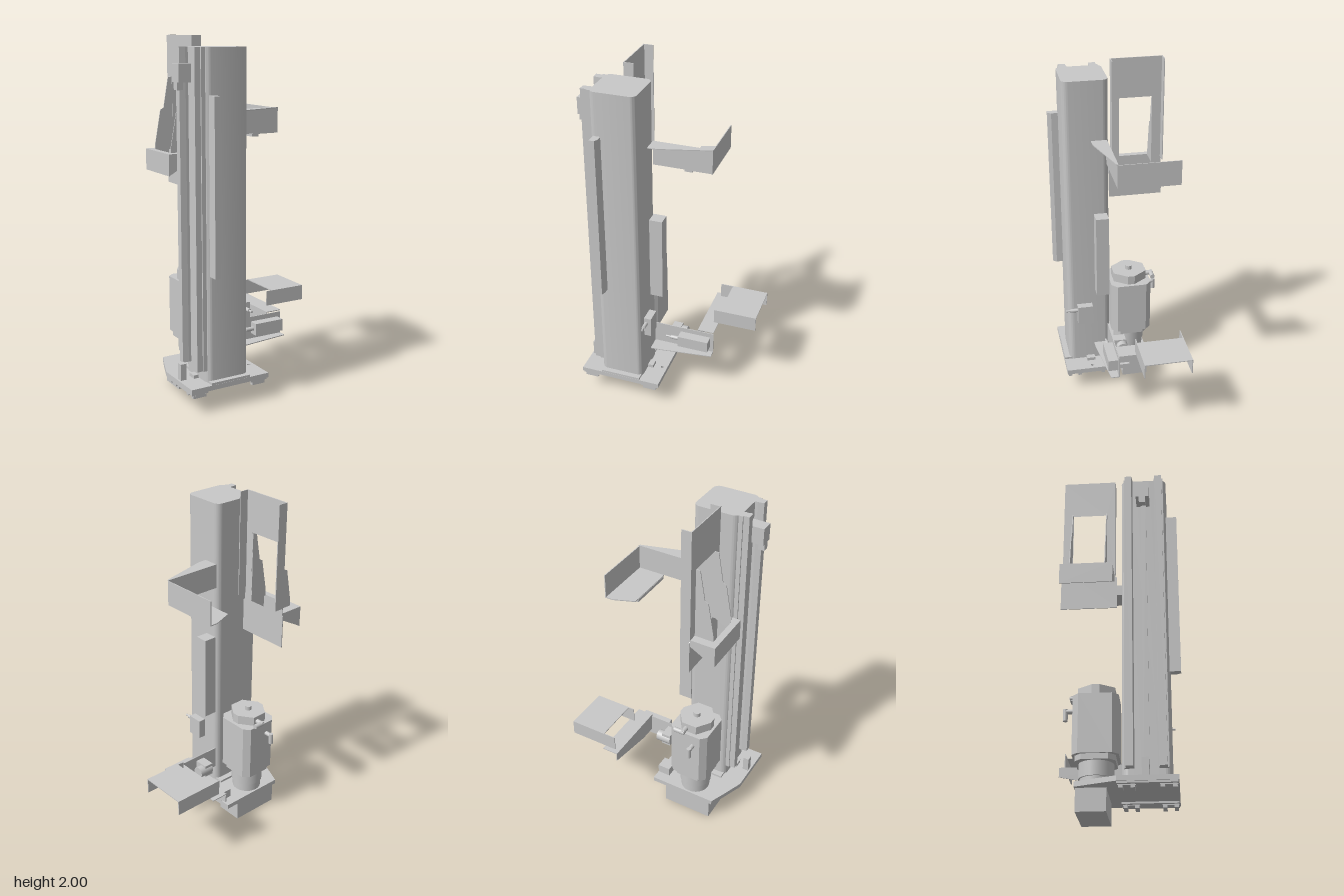
import * as THREE from 'three';
import { toCreasedNormals } from 'three/addons/utils/BufferGeometryUtils.js';

export function createModel() {
  const model = new THREE.Group();
  model.name = 'columnMachine';
  const grey = new THREE.MeshStandardMaterial({ color: 0xc8c8c8 });
  grey.name = 'grey';
  const T = 0.005; // sheet metal thickness

  const add = (name, geometry) => {
    const mesh = new THREE.Mesh(geometry, grey);
    mesh.name = name;
    model.add(mesh);
    return mesh;
  };
  const box = (name, x0, x1, y0, y1, z0, z1) => add(name,
    new THREE.BoxGeometry(x1 - x0, y1 - y0, z1 - z0).translate((x0 + x1) / 2, (y0 + y1) / 2, (z0 + z1) / 2));
  const polygon = (pts, flip) => new THREE.Shape(pts.map(([a, b]) => flip ? new THREE.Vector2(-a, b) : new THREE.Vector2(a, -b)));
  const extrude = (shape, depth) => new THREE.ExtrudeGeometry(shape, { depth, bevelEnabled: false, curveSegments: 8 });
  // outline in [x, z], raised from y0 to y1
  const slab = (name, pts, y0, y1, hole) => {
    const s = polygon(pts, false);
    if (hole) s.holes.push(new THREE.Path().absarc(hole[0], -hole[1], hole[2], 0, Math.PI * 2, true));
    return add(name, extrude(s, y1 - y0).rotateX(-Math.PI / 2).translate(0, y0, 0));
  };
  // outline in [z, y], thick from x0 to x1
  const sidePlate = (name, pts, x0, x1, hole) => {
    const s = polygon(pts, true);
    if (hole) s.holes.push(polygon(hole, true));
    return add(name, extrude(s, x1 - x0).rotateY(Math.PI / 2).translate(x0, 0, 0));
  };
  // outline in [x, y], one sheet thick at z
  const frontPlate = (name, pts, z) => add(name,
    extrude(new THREE.Shape(pts.map(([x, y]) => new THREE.Vector2(x, y))), T).translate(0, 0, z));
  const rod = (name, x, y, z, r, length, axis, r2 = r) => {
    const g = new THREE.CylinderGeometry(r2, r, length, 24);
    if (axis === 'x') g.rotateZ(Math.PI / 2);
    if (axis === 'z') g.rotateX(Math.PI / 2);
    return add(name, g.translate(x, y, z));
  };
  const octagon = (x0, x1, z0, z1, cx, cz = cx) => [
    [x0 + cx, z0], [x1 - cx, z0], [x1, z0 + cz], [x1, z1 - cz], [x1 - cx, z1], [x0 + cx, z1], [x0, z1 - cz], [x0, z0 + cz]];

  // Base plate, stacked pads, feet and lower block
  slab('basePlate', [[-0.485, 0.325], [0, 0.325], [0, -0.195], [-0.4, -0.195], [-0.435, -0.11], [-0.485, 0.02]],
    0.12, 0.147, [-0.03, 0.165, 0.01]);
  box('columnPad', -0.36, -0.12, 0.147, 0.16, 0.005, 0.324);
  box('padTab', -0.4, -0.36, 0.147, 0.166, 0.14, 0.19);
  box('padTab', -0.12, -0.08, 0.147, 0.166, 0.14, 0.19);
  box('lowerBlock', -0.38, -0.085, 0, 0.12, -0.19, -0.035);
  for (const x of [-0.43, -0.06]) {
    for (const z of [0.275, 0.07]) {
      box('footBlock', x - 0.03, x + 0.03, 0.105, 0.12, z - 0.045, z + 0.045);
      for (const s of [-1, 1]) box('footClaw', x - 0.04, x + 0.04, 0.09, 0.108, z + s * 0.03 - 0.011, z + s * 0.03 + 0.011);
    }
    box('footRail', x - 0.05, x + 0.05, 0.11, 0.121, 0.02, 0.32);
  }
  box('baseBlock', -0.075, 0, 0.145, 0.2, -0.135, -0.06);
  box('basePost', -0.475, -0.44, 0.145, 0.24, 0.145, 0.18);

  // Column with rounded corners
  const x0 = -0.37, x1 = -0.113, z0 = 0.04, z1 = 0.293, r = 0.035;
  const outline = new THREE.Shape();
  outline.absarc(x1 - r, -z0 - r, r, 0, Math.PI / 2);
  outline.absarc(x0 + r, -z0 - r, r, Math.PI / 2, Math.PI);
  outline.absarc(x0 + r, -z1 + r, r, Math.PI, Math.PI * 1.5);
  outline.absarc(x1 - r, -z1 + r, r, Math.PI * 1.5, Math.PI * 2);
  add('column', toCreasedNormals(extrude(outline, 1.793).rotateX(-Math.PI / 2).translate(0, 0.15, 0), 0.6));

  // Guide rails on the side, mirrored about the column middle
  const mid = 0.166;
  for (const s of [-1, 1]) {
    const pts = [[-0.36, 0.112], [-0.387, 0.112], [-0.387, 0.104], [-0.42, 0.104], [-0.42, 0.066], [-0.385, 0.062],
      [-0.36, 0.062]].map(([x, d]) => [x, mid + s * d]);
    slab('guideRail', pts, 0.215, 1.943);
  }
  box('railCable', -0.385, -0.369, 0.215, 1.9, 0.15, 0.18);
  box('limitBox', -0.475, -0.369, 1.765, 1.86, 0.127, 0.2);
  box('limitPlug', -0.475, -0.44, 1.725, 1.765, 0.145, 0.18);

  // Front strip and parts on the other side of the column
  slab('frontStrip', [[-0.35, 0.29], [-0.35, 0.35], [-0.32, 0.35], [-0.31, 0.33], [-0.31, 0.29]], 0.745, 1.7);
  box('sideBox', -0.115, -0.037, 0.645, 1.15, 0.055, 0.13);
  box('switchBox', -0.115, -0.07, 0.43, 0.55, 0.15, 0.24);
  rod('switchStem', -0.1, 0.515, 0.262, 0.011, 0.045, 'z');
  rod('switchPin', -0.1, 0.515, 0.295, 0.006, 0.03, 'z');

  // Motor
  rod('motorNeck', -0.24, 0.17, -0.1, 0.085, 0.07, 'y');
  rod('motorCollar', -0.24, 0.243, -0.1, 0.093, 0.085, 'y');
  slab('motorFlange', octagon(-0.345, -0.135, -0.205, 0.005, 0.035), 0.28, 0.31);
  slab('motorBody', octagon(-0.355, -0.12, -0.22, 0.022, 0.033), 0.31, 0.635);
  slab('motorCap', octagon(-0.34, -0.14, -0.197, 0, 0.055, 0.078), 0.635, 0.69);
  rod('motorKnob', -0.24, 0.7, -0.1, 0.02, 0.03, 'y');
  rod('upperPort', -0.222, 0.657, -0.215, 0.014, 0.06, 'z');
  rod('upperPortEnd', -0.2, 0.657, -0.235, 0.014, 0.065, 'x');
  rod('lowerPort', -0.277, 0.562, -0.24, 0.013, 0.05, 'z');
  rod('lowerPortEnd', -0.277, 0.543, -0.262, 0.013, 0.065, 'y');

  // Rear sheet panel with window, folded edges and side tabs
  sidePlate('rearPanel', [[0, 2], [-0.297, 2], [-0.297, 1.36], [-0.303, 1.355], [-0.303, 1.165], [0.01, 1.165], [0.01, 1.355], [0, 1.36]],
    -0.292, -0.287, [[-0.05, 1.77], [-0.24, 1.77], [-0.24, 1.365], [-0.05, 1.365]]);
  box('rearFold', -0.29, -0.235, 1.4, 2, -0.297, -0.292);
  box('innerFold', -0.29, -0.235, 1.4, 2, -0.005, 0);
  for (const z of [-0.0525, -0.2475]) {
    frontPlate('windowTab', [[-0.29, 1.77], [-0.315, 1.77], [-0.345, 1.6], [-0.365, 1.59], [-0.4, 1.4], [-0.4, 1.365], [-0.29, 1.365]], z);
  }

  // Holder frame around the tabs
  box('holderOuterWall', -0.435, -0.43, 1.25, 1.37, -0.295, -0.005);
  box('holderOuterLedge', -0.435, -0.4, 1.365, 1.37, -0.295, -0.005);
  box('holderRearLedge', -0.435, -0.29, 1.365, 1.37, -0.295, -0.247);
  box('holderFrontLedge', -0.435, -0.29, 1.365, 1.37, -0.05, -0.005);
  for (const z of [-0.295, -0.01]) {
    frontPlate('holderCheek', [[-0.435, 1.37], [-0.435, 1.25], [-0.29, 1.33], [-0.29, 1.37]], z);
  }

  // Upper arm: front sheet, end sheet, sloped flange and floor
  box('upperArmFront', -0.113, 0.225, 1.46, 1.6, 0.05, 0.055);
  box('upperArmEnd', 0.22, 0.225, 1.455, 1.595, -0.29, 0.055);
  slab('upperArmFlange', [[-0.113, 0.05], [-0.113, 0.14], [-0.06, 0.138], [0.22, 0.06], [0.22, 0.05]], 1.595, 1.6);
  slab('upperArmFloor', [[0.065, 0.05], [0.225, 0.05], [0.225, -0.29], [0.18, -0.29], [0.065, -0.245]], 1.455, 1.46);
  box('upperArmLip', 0.063, 0.108, 1.44, 1.457, -0.22, 0.04);

  // Lower arm: front sheet, flange, tapered gusset and shelf
  box('lowerArmFront', -0.113, 0.255, 0.255, 0.388, 0.05, 0.055);
  slab('lowerArmFlange', [[-0.113, 0.05], [-0.113, 0.14], [-0.06, 0.138], [0.255, 0.1], [0.255, 0.05]], 0.252, 0.257);
  sidePlate('lowerArmGusset', [[0.055, 0.4], [0.055, 0.285], [-0.05, 0.285], [-0.352, 0.345], [-0.352, 0.4]], 0.157, 0.162);
  box('lowerArmShelf', 0.157, 0.255, 0.395, 0.4, -0.352, 0.055);
  box('sensorBox', 0.05, 0.235, 0.29, 0.36, 0.05, 0.112);
  rod('sensorPlug', 0.025, 0.325, 0.08, 0.012, 0.055, 'x');
  rod('sensorCable', -0.015, 0.325, 0.08, 0.006, 0.04, 'x');
  box('clampBlock', -0.018, 0.038, 0.285, 0.36, -0.03, 0.052);
  rod('clampCylinder', 0.028, 0.32, -0.005, 0.034, 0.09, 'x');

  // Open channel tray at the end of the lower arm
  box('trayTop', 0.263, 0.483, 0.485, 0.49, -0.325, -0.047);
  box('trayFrontWall', 0.225, 0.483, 0.4, 0.49, -0.052, -0.047);
  box('trayRearWall', 0.188, 0.483, 0.4, 0.49, -0.325, -0.32);

  return model;
}
